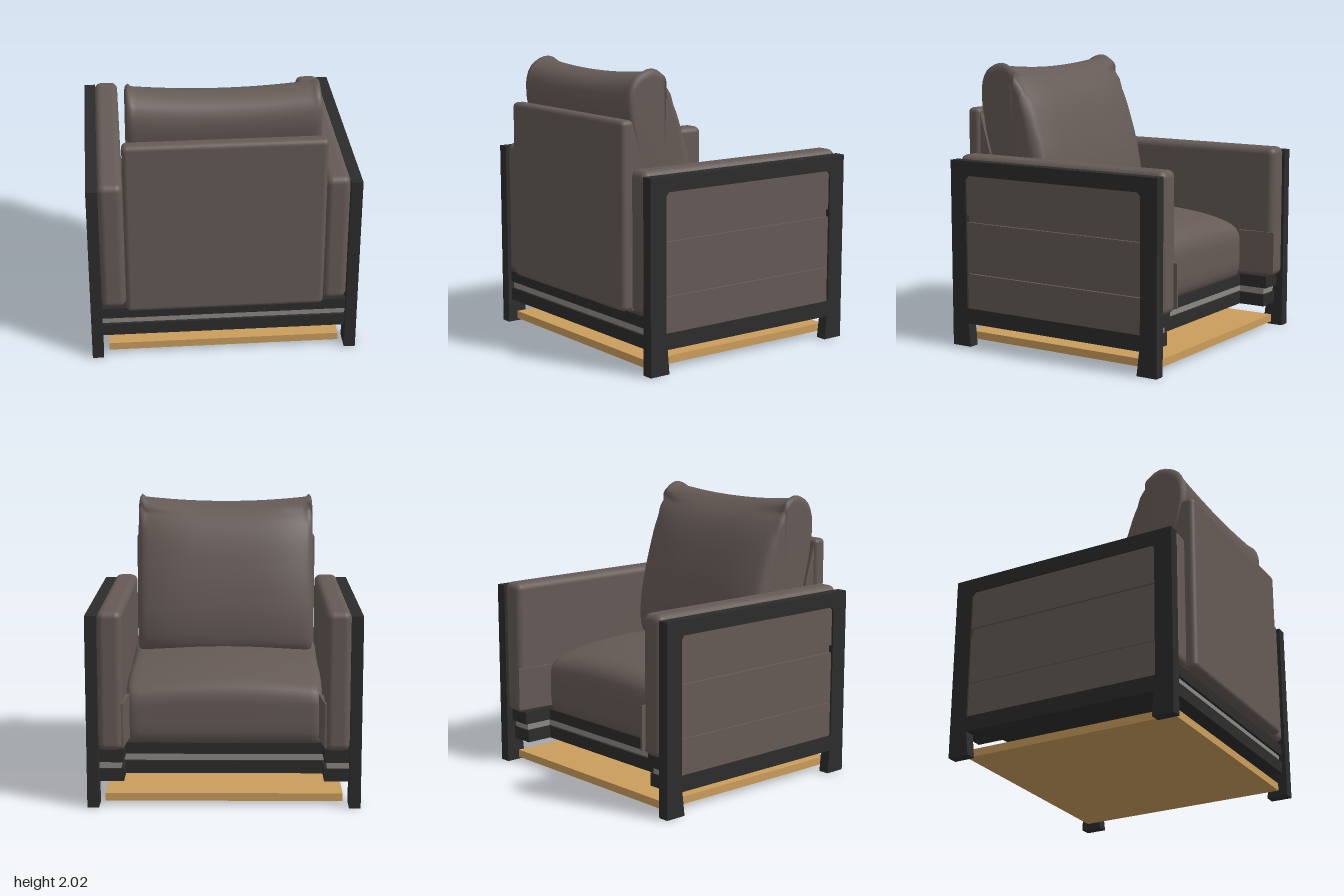
import * as THREE from 'three';
import { RoundedBoxGeometry } from 'three/addons/geometries/RoundedBoxGeometry.js';

const fabric = new THREE.MeshStandardMaterial({ name: 'brown fabric', color: 0x655a56 });
const black = new THREE.MeshStandardMaterial({ name: 'black frame', color: 0x2c2c2c });
const grey = new THREE.MeshStandardMaterial({ name: 'grey webbing', color: 0x8c8884 });
const wood = new THREE.MeshStandardMaterial({ name: 'light wood', color: 0xcb9d5c });

export function createModel() {
  const chair = new THREE.Group();
  chair.name = 'armchair';

  const add = (name, geometry, material) => {
    const mesh = new THREE.Mesh(geometry, material);
    mesh.name = name;
    chair.add(mesh);
    return mesh;
  };

  // Box given by its limits; a radius makes it padded
  const box = (name, material, [x0, x1], [y0, y1], [z0, z1], radius = 0) => {
    const size = [x1 - x0, y1 - y0, z1 - z0];
    const geometry = radius ? new RoundedBoxGeometry(...size, 4, radius) : new THREE.BoxGeometry(...size);
    geometry.translate((x0 + x1) / 2, (y0 + y1) / 2, (z0 + z1) / 2);
    return add(name, geometry, material);
  };

  // Outline drawn in (z, y), extruded between x0 and x1
  const sideExtrude = (shape, x0, x1) =>
    new THREE.ExtrudeGeometry(shape, { depth: x1 - x0, bevelEnabled: false })
      .rotateY(-Math.PI / 2).translate(x1, 0, 0);

  const outline = (points) => new THREE.Shape(points.map(([z, y]) => new THREE.Vector2(z, y)));

  // Cushion: a closed (z, y) profile lofted across x, rounded at both ends
  const cushion = (profile, halfWidth, warp) => {
    const curve = new THREE.CatmullRomCurve3(
      profile.map(([z, y]) => new THREE.Vector3(0, y, z)), true, 'centripetal');
    const ring = curve.getSpacedPoints(72).slice(0, -1);
    const n = ring.length;
    const middle = ring.reduce((sum, p) => sum.add(p), new THREE.Vector3()).divideScalar(n);
    const positions = [];
    const index = [];
    const rows = [[-1, 0.07], [-0.99, 0.035], [-0.965, 0.012], [-0.93, 0]];
    for (let i = -7; i <= 7; i++) rows.push([i / 8, 0]);
    rows.push([0.93, 0], [0.965, 0.012], [0.99, 0.035], [1, 0.07]);
    for (const [t, inset] of rows) {
      for (const p of ring) {
        const q = p.clone();
        warp(q, t);
        const inward = middle.clone().sub(q).setX(0).normalize().multiplyScalar(inset);
        q.add(inward);
        positions.push(t * halfWidth, q.y, q.z);
      }
    }
    for (let i = 0; i < rows.length - 1; i++) {
      for (let j = 0; j < n; j++) {
        const k = (j + 1) % n;
        const a = i * n + j, b = a + n, c = i * n + k, d = c + n;
        index.push(a, b, c, b, d, c);
      }
    }
    // End caps
    const last = (rows.length - 1) * n;
    const left = rows.length * n;
    positions.push(-halfWidth, middle.y, middle.z, halfWidth, middle.y, middle.z);
    for (let j = 0; j < n; j++) {
      const k = (j + 1) % n;
      index.push(left, j, k, left + 1, last + k, last + j);
    }
    const geometry = new THREE.BufferGeometry();
    geometry.setAttribute('position', new THREE.Float32BufferAttribute(positions, 3));
    geometry.setIndex(index);
    geometry.computeVertexNormals();
    return geometry;
  };

  // Side frames with legs and a window for the upholstered panel
  const frame = outline([
    [0.85, 0], [0.85, 1.34], [-0.87, 1.34], [-0.87, 0], [-0.715, 0],
    [-0.735, 0.17], [0.71, 0.17], [0.695, 0]]);
  frame.holes.push(new THREE.Path([
    [0.72, 0.28], [-0.74, 0.28], [-0.74, 1.21], [-0.72, 1.235], [0.70, 1.235], [0.72, 1.21],
  ].map(([z, y]) => new THREE.Vector2(z, y))));

  // Corner gusset between seat and arm, in (x, z)
  const gusset = new THREE.Shape([[0.66, -0.6], [0.7, -0.6], [0.7, -0.88], [0.685, -0.88]]
    .map(([x, z]) => new THREE.Vector2(x, -z)));

  for (const side of [-1, 1]) {
    const span = (a, b) => (side > 0 ? [a, b] : [-b, -a]);
    add('sideFrame', sideExtrude(frame, ...span(0.86, 0.94)), black);
    box('armCushion', fabric, span(0.69, 0.862), [0.4, 1.37], [-0.87, 0.84], 0.05);
    // Side panel planks over a recessed backing
    box('sidePanelBacking', fabric, span(0.855, 0.905), [0.27, 1.24], [-0.75, 0.73]);
    for (const [y0, y1] of [[0.28, 0.528], [0.534, 0.9], [0.955, 1.235]]) {
      box('sidePanelPlank', fabric, span(0.9, 0.926), [y0, y1], [-0.74, 0.72]);
    }
    // Base rails running under the arm
    box('armRailLower', black, span(0.69, 0.87), [0.17, 0.26], [-0.8, -0.59]);
    box('armWebbing', grey, span(0.71, 0.87), [0.26, 0.31], [-0.79, -0.59]);
    box('armRailUpper', black, span(0.69, 0.87), [0.31, 0.4], [-0.82, -0.59]);
    const corner = new THREE.ExtrudeGeometry(gusset, { depth: 0.31, bevelEnabled: false })
      .rotateX(-Math.PI / 2).translate(0, 0.43, 0);
    if (side < 0) corner.rotateZ(Math.PI).translate(0, 1.17, 0);
    add('seatCorner', corner, fabric);
  }

  // Base under the seat
  box('baseRailLower', black, [-0.87, 0.87], [0.17, 0.26], [-0.6, 0.82]);
  box('baseWebbing', grey, [-0.87, 0.87], [0.26, 0.31], [-0.58, 0.8]);
  box('baseRailUpper', black, [-0.87, 0.87], [0.31, 0.39], [-0.6, 0.82]);
  box('bottomBoard', wood, [-0.82, 0.82], [0.03, 0.085], [-0.8, 0.8]);

  // Backrest panel with its sloping inner support
  box('backPanel', fabric, [-0.69, 0.69], [0.4, 1.69], [0.79, 0.895], 0.035);
  add('backSupport', sideExtrude(
    outline([[0.83, 0.4], [0.83, 1.66], [0.79, 1.64], [0.71, 1.37], [0.6, 0.4]]), -0.67, 0.67), fabric);

  // Seat cushion, crowned towards the middle
  add('seatCushion', cushion([
    [0.7, 0.86], [0.3, 0.87], [-0.1, 0.86], [-0.4, 0.82], [-0.56, 0.77], [-0.61, 0.72],
    [-0.62, 0.6], [-0.615, 0.45], [-0.59, 0.385], [-0.5, 0.37], [0.2, 0.37], [0.7, 0.37], [0.74, 0.6],
  ], 0.685, (p, t) => {
    if (p.y > 0.6) p.y += 0.05 * (1 - t * t) * Math.min(1, (p.y - 0.6) / 0.2);
  }), fabric);

  // Back cushion, leaning back, bulging forward, with a dipped top edge
  add('backCushion', cushion([
    [0.72, 0.84], [0.74, 1.2], [0.79, 1.6], [0.81, 1.82], [0.77, 1.93], [0.68, 1.99], [0.6, 2.0],
    [0.54, 1.97], [0.42, 1.86], [0.35, 1.74], [0.28, 1.55], [0.22, 1.34], [0.18, 1.08],
    [0.2, 0.9], [0.3, 0.83],
  ], 0.655, (p, t) => {
    if (p.z < 0.5) p.z += 0.07 * t ** 4;
    if (p.y > 1.6) p.y -= 0.1 * (1 - t * t) * (p.y - 1.6);
    if (p.y > 1.8 && Math.abs(t) > 0.95) p.y += 0.03;
  }), fabric);

  return chair;
}
